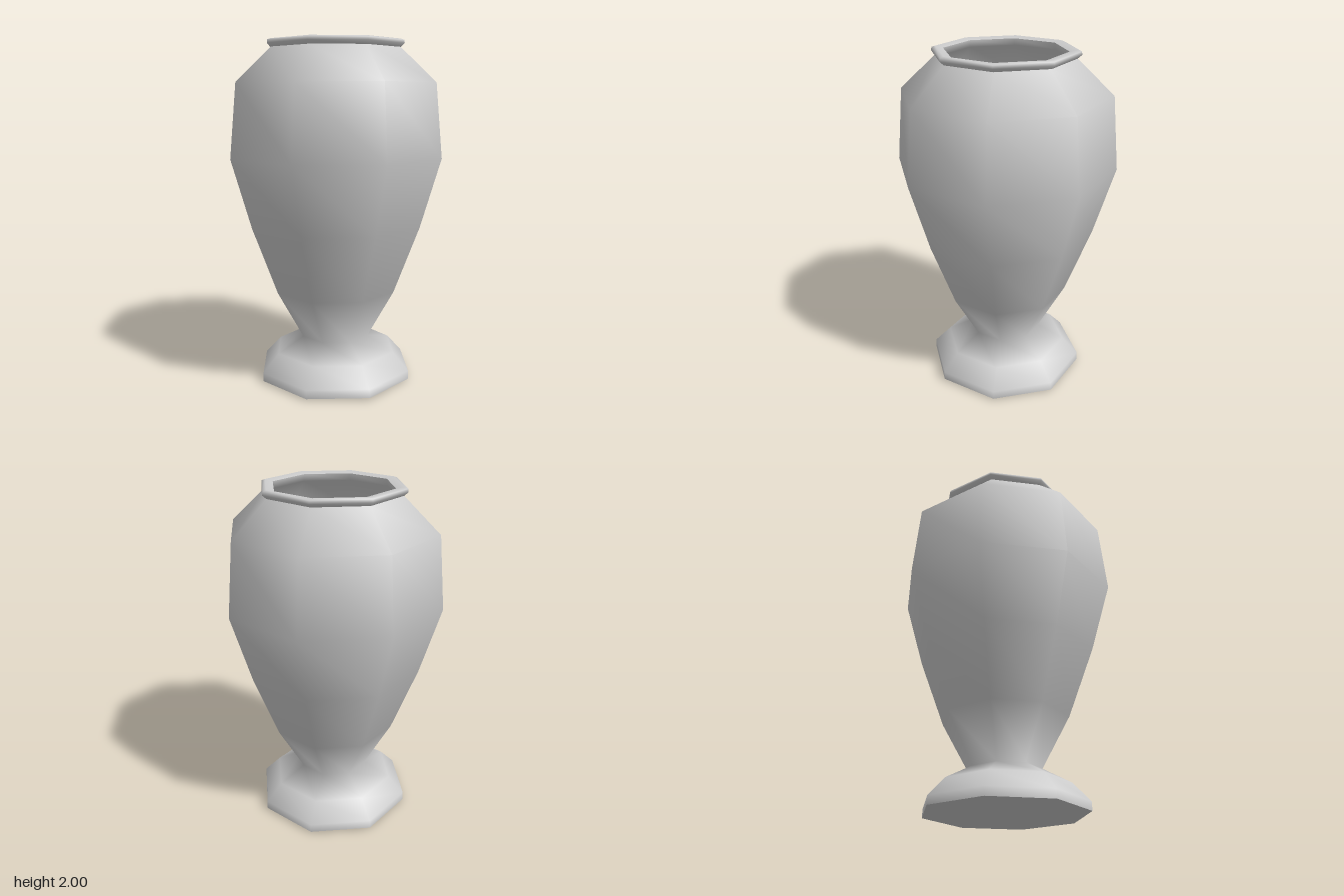
import * as THREE from 'three';

const SIDES = 8;
const material = new THREE.MeshStandardMaterial({ color: 0xcccccc });

// Turn a profile of [radius, height] pairs into an eight-sided ring, smooth along its length
function turned(name, profile) {
  const points = profile.map(([r, y]) => new THREE.Vector2(r, y));
  const mesh = new THREE.Mesh(new THREE.LatheGeometry(points, SIDES), material);
  mesh.name = name;
  return mesh;
}

export function createModel() {
  const vase = new THREE.Group();
  vase.name = 'vase';

  vase.add(
    // Underside, dipping slightly to the middle
    turned('underside', [[0, 0], [0.47, 0.01]]),

    // Flared foot, narrow waist, swelling body and sloping shoulder
    turned('footAndBody', [
      [0.47, 0.01], [0.468, 0.06], [0.37, 0.165], [0.21, 0.25],
      [0.37, 0.54], [0.52, 0.94], [0.637, 1.34], [0.597, 1.76], [0.39, 1.955],
    ]),

    // Rolled lip around the mouth
    turned('lip', [
      [0.39, 1.955], [0.413, 1.975], [0.41, 1.993], [0.39, 2], [0.345, 1.99],
    ]),

    // Hollow inside, following the outer wall down to a rounded floor
    turned('interior', [
      [0.345, 1.99], [0.35, 1.95], [0.55, 1.74], [0.59, 1.34],
      [0.475, 0.94], [0.325, 0.55], [0.17, 0.31], [0, 0.28],
    ]),
  );

  return vase;
}
